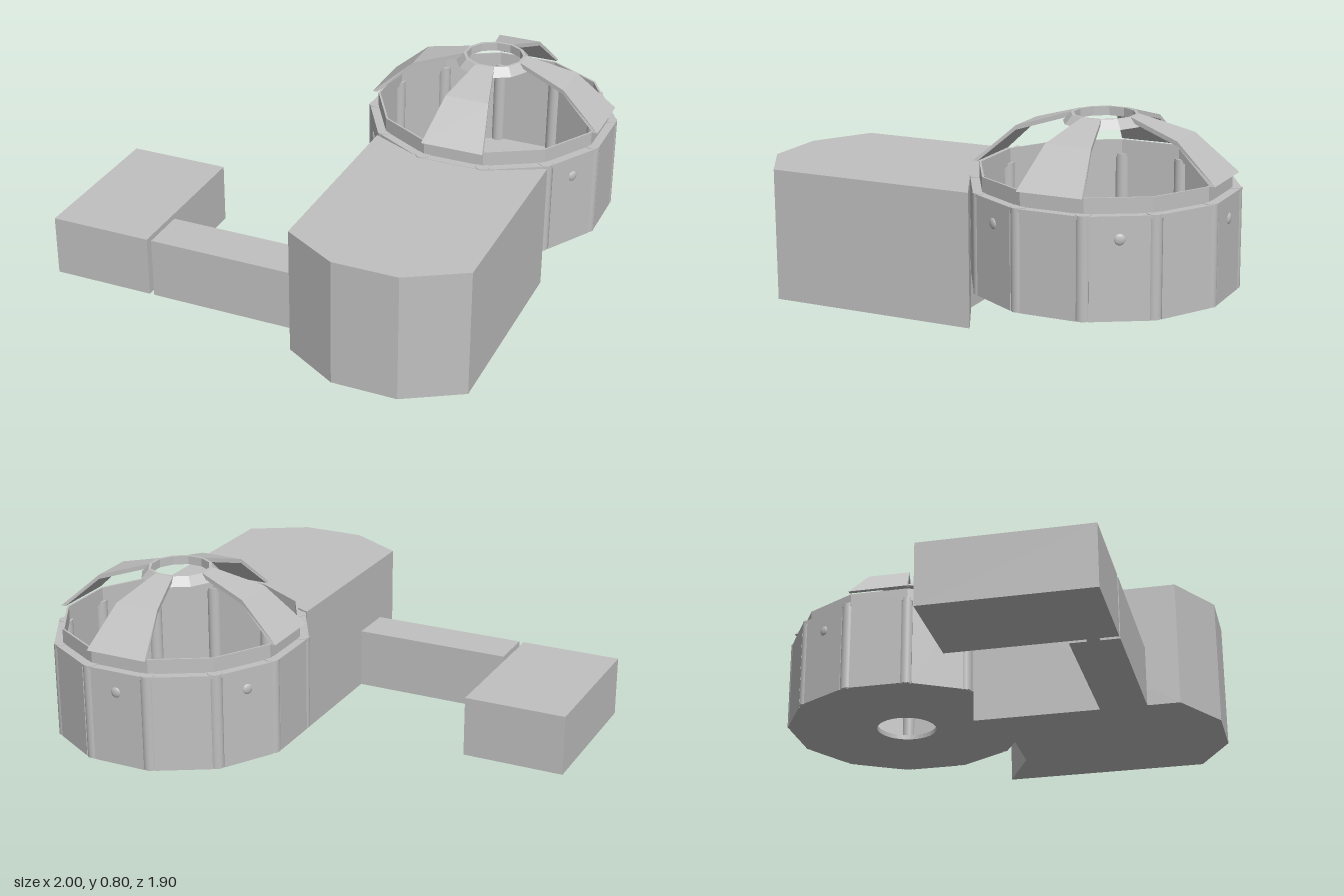
import * as THREE from 'three';

export function createModel() {
  const model = new THREE.Group();
  const grey = new THREE.MeshStandardMaterial({ color: 0xc0c0c0 });
  grey.name = 'plain grey';

  function add(parent, name, geometry, x = 0, y = 0, z = 0, turn = 0) {
    const mesh = new THREE.Mesh(geometry, grey);
    mesh.name = name;
    mesh.position.set(x, y, z);
    mesh.rotation.y = turn;
    parent.add(mesh);
    return mesh;
  }
  // box given by its limits on each axis
  function block(name, x0, x1, y0, y1, z0, z1) {
    add(model, name, new THREE.BoxGeometry(x1 - x0, y1 - y0, z1 - z0),
      (x0 + x1) / 2, (y0 + y1) / 2, (z0 + z1) / 2);
  }
  // upright prism from a floor outline
  function prism(shape, height) {
    return new THREE.ExtrudeGeometry(shape, { depth: height, bevelEnabled: false, curveSegments: 20 })
      .rotateX(-Math.PI / 2);
  }
  // corners of a twelve-sided outline with flats on the axes
  function corners(apothem) {
    const r = apothem / Math.cos(Math.PI / 12);
    return Array.from({ length: 12 }, (_, i) => {
      const a = (i + 0.5) * Math.PI / 6;
      return new THREE.Vector2(Math.cos(a) * r, Math.sin(a) * r);
    });
  }
  function twelveRing(outer, inner, height) {
    const shape = new THREE.Shape(corners(outer));
    shape.holes.push(new THREE.Path(corners(inner)));
    return prism(shape, height);
  }

  // side wing and corridor
  block('sideRoom', -1, -0.57, 0, 0.255, 0, 0.675);
  block('doorLink', -0.572, -0.548, 0, 0.08, 0.55, 0.6);
  block('corridor', -0.55, 0.13, 0, 0.255, 0.48, 0.675);

  // main hall: chamfered front, back hollowed to fit the drum
  const outline = [[0.125, 0.81], [0.36, 0.948], [0.63, 0.948], [0.86, 0.81],
    [0.86, -0.05], [0.63, 0.065], [0.36, 0.065], [0.125, -0.05]];
  const hall = new THREE.Shape(outline.map(([x, z]) => new THREE.Vector2(x, -z)));
  add(model, 'mainHall', prism(hall, 0.53));

  // round drum
  const drum = new THREE.Group();
  drum.name = 'drum';
  drum.position.set(0.49, 0, -0.44);
  model.add(drum);

  const floor = new THREE.Shape(corners(0.5));
  floor.holes.push(new THREE.Path().absarc(0, 0, 0.13, 0, Math.PI * 2, true));
  add(drum, 'floor', prism(floor, 0.02), 0, 0.14, 0);
  add(drum, 'floorCover', new THREE.CircleGeometry(0.131, 20).rotateX(-Math.PI / 2), 0, 0.16, 0);
  add(drum, 'wallRim', twelveRing(0.505, 0.465, 0.012), 0, 0.519, 0);
  add(drum, 'collar', twelveRing(0.47, 0.462, 0.06), 0, 0.53, 0);

  const panelGeo = new THREE.BoxGeometry(0.222, 0.39, 0.03);
  const pillarGeo = new THREE.CylinderGeometry(0.029, 0.029, 0.392, 16);
  const studGeo = new THREE.SphereGeometry(0.022, 12, 8).scale(1, 1, 0.4);
  for (let i = 0; i < 12; i++) {
    const a = i * Math.PI / 6, b = a + Math.PI / 12;
    add(drum, 'wallPanel', panelGeo, Math.sin(a) * 0.49, 0.335, Math.cos(a) * 0.49, a);
    add(drum, 'pillar', pillarGeo, Math.sin(b) * 0.495, 0.337, Math.cos(b) * 0.495);
    if (i % 2 === 0 && i > 0) {
      add(drum, 'wallStud', studGeo, Math.sin(a) * 0.503, 0.445, Math.cos(a) * 0.503, a);
    }
  }

  // roof petal: a box bent over three stations of [radius, height, half width]
  const stations = [[0.125, 0.8, 0.04], [0.33, 0.738, 0.092], [0.495, 0.592, 0.13]];
  let petalGeo = new THREE.BoxGeometry(2, 1, 2, 1, 1, 2);
  const p = petalGeo.attributes.position;
  for (let i = 0; i < p.count; i++) {
    const s = Math.round(p.getZ(i)) + 1;
    const [r, y, w] = stations[s];
    const under = p.getY(i) < 0;
    p.setXYZ(i, p.getX(i) * w, y - (under && s < 2 ? 0.018 : 0), r - (under && s === 2 ? 0.02 : 0));
  }
  petalGeo = petalGeo.toNonIndexed();
  petalGeo.computeVertexNormals();
  for (let i = 0; i < 4; i++) add(drum, 'roofPetal', petalGeo, 0, 0, 0, i * Math.PI / 2);

  // open crown ring joining the petals
  const crown = [[0.118, 0.765], [0.16, 0.765], [0.13, 0.8], [0.118, 0.8], [0.118, 0.765]]
    .map(([r, y]) => new THREE.Vector2(r, y));
  let crownGeo = new THREE.LatheGeometry(crown, 12, Math.PI / 12).toNonIndexed();
  crownGeo.computeVertexNormals();
  add(drum, 'crownRing', crownGeo);

  return model;
}
